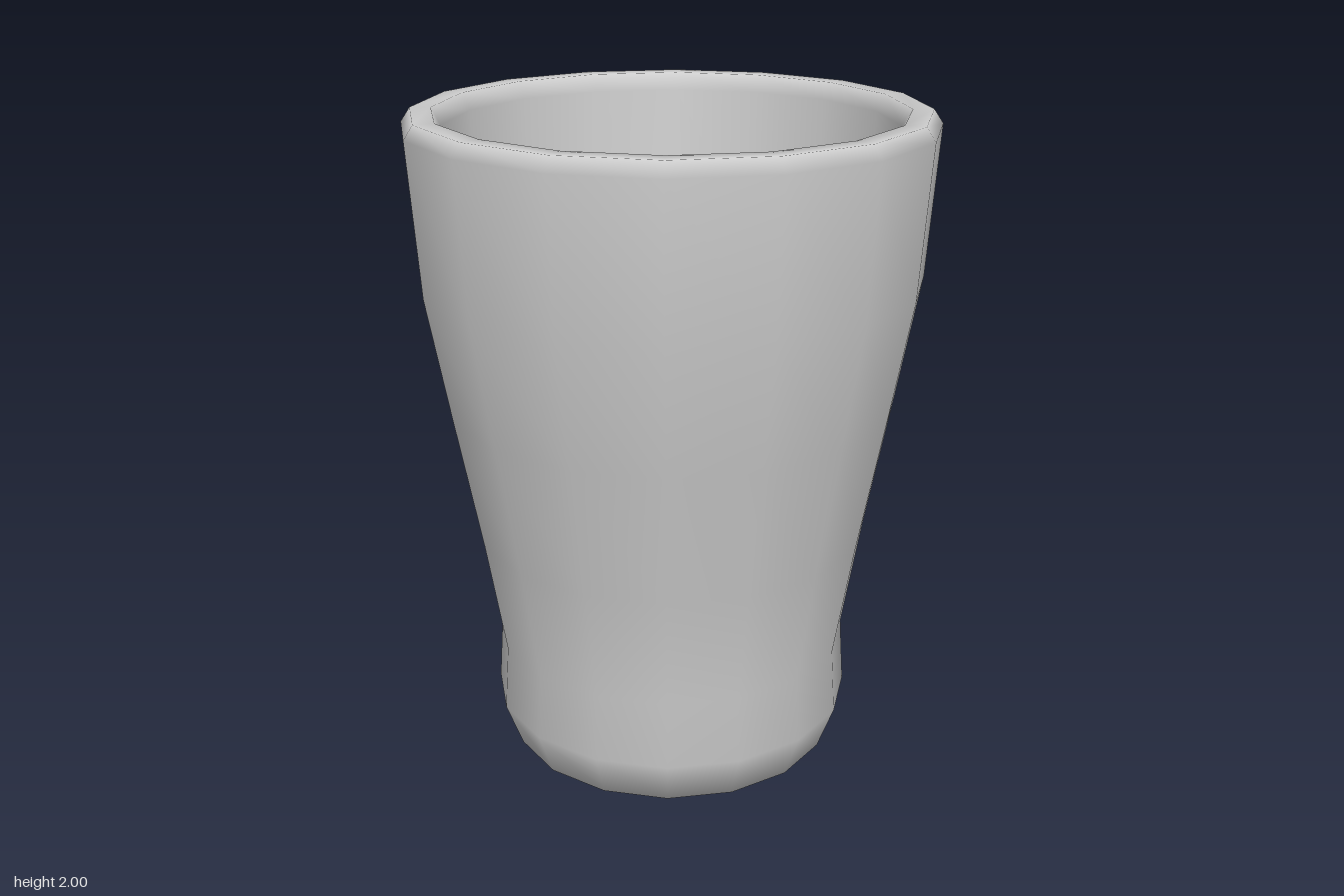
import * as THREE from 'three';

export function createModel() {
  const group = new THREE.Group();
  group.name = 'cup';
  const grey = new THREE.MeshStandardMaterial({ color: 0xcccccc });
  grey.name = 'light grey';

  // Closed profile: base, outer wall, rounded rim, inner wall, inner floor
  const profile = [
    [0, 0], [0.355, 0.004], [0.495, 0.065], [0.545, 0.2], [0.532, 0.4],
    [0.59, 0.75], [0.665, 1.15], [0.732, 1.52], [0.762, 1.96],
    [0.735, 2], [0.675, 2], [0.65, 1.95],
    [0.635, 1.52], [0.58, 1.15], [0.51, 0.75], [0.455, 0.4],
    [0.44, 0.24], [0.39, 0.16], [0, 0.15],
  ].map(([r, y]) => new THREE.Vector2(r, y));

  const body = new THREE.Mesh(new THREE.LatheGeometry(profile, 16), grey);
  body.name = 'cupBody';
  group.add(body);
  return group;
}
